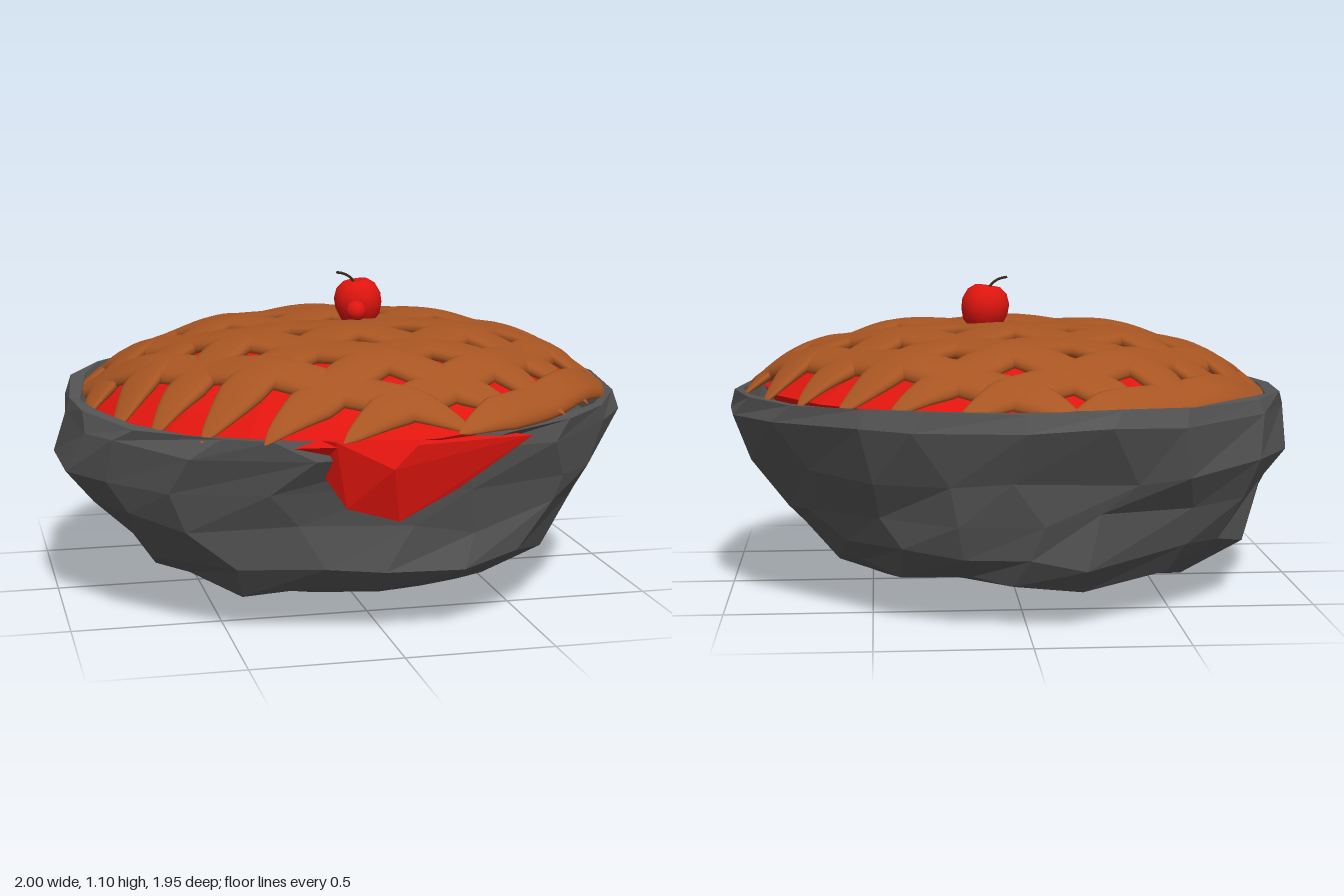
import * as THREE from 'three';
import { ConvexGeometry } from 'three/addons/geometries/ConvexGeometry.js';

const mat = (color, flat = false) =>
  new THREE.MeshStandardMaterial({ color, flatShading: flat, side: THREE.DoubleSide });

// Small repeatable noise in -1..1
const noise = (a, b) => {
  const s = Math.sin(a * 127.1 + b * 311.7) * 43758.5453;
  return (s - Math.floor(s)) * 2 - 1;
};

// Skin a list of rings (arrays of Vector3), closing both ends with a fan
function loft(rings) {
  const n = rings[0].length, pos = [], index = [];
  rings.forEach(r => r.forEach(p => pos.push(p.x, p.y, p.z)));
  for (let i = 0; i < rings.length - 1; i++) {
    for (let j = 0; j < n; j++) {
      const a = i * n + j, c = i * n + (j + 1) % n;
      index.push(a, a + n, c, c, a + n, c + n);
    }
  }
  const last = (rings.length - 1) * n;
  for (const [base, flip] of [[0, false], [last, true]]) {
    const mid = rings[base / n].reduce((s, p) => s.add(p), new THREE.Vector3()).divideScalar(n);
    const k = pos.length / 3;
    pos.push(mid.x, mid.y, mid.z);
    for (let j = 0; j < n; j++) {
      const a = base + j, c = base + (j + 1) % n;
      if (flip) index.push(k, c, a); else index.push(k, a, c);
    }
  }
  const g = new THREE.BufferGeometry();
  g.setAttribute('position', new THREE.Float32BufferAttribute(pos, 3));
  g.setIndex(index);
  g.computeVertexNormals();
  return g;
}

// Height of the pie's broad, flat-topped dome
const dome = (x, z) => 0.67 + 0.24 * (1 - Math.pow(Math.hypot(x - 0.04, z * 0.97) / 0.95, 3.1));

// Rough-hewn bowl: each ring is y, -x, +x, -z, +z extents, roughness
function bowlGeometry() {
  const profile = [
    [0.01, 0.25, 0.05, 0.04, 0.28, 0.01],
    [0.07, 0.48, 0.56, 0.30, 0.55, 0.015],
    [0.14, 0.70, 0.65, 0.77, 0.74, 0.025],
    [0.23, 0.82, 0.74, 0.85, 0.82, 0.03],
    [0.36, 0.91, 0.86, 0.86, 0.82, 0.03],
    [0.50, 1.00, 0.94, 0.90, 0.84, 0.02],
    [0.64, 0.97, 1.00, 0.98, 0.88, 0.01],
    [0.70, 0.95, 0.98, 0.96, 0.88, 0.006],
    [0.70, 0.91, 0.95, 0.92, 0.84, 0.006],
    [0.60, 0.87, 0.91, 0.88, 0.80, 0.01],
    [0.50, 0.70, 0.70, 0.70, 0.65, 0],
  ];
  const n = 20;
  return loft(profile.map(([y, xn, xp, zn, zp, rough], i) =>
    Array.from({ length: n }, (_, j) => {
      const a = ((j + 0.3 * noise(i, j)) / n) * Math.PI * 2;
      const c = Math.cos(a), s = Math.sin(a);
      // Each quarter is squared off by a different amount
      const e = s > 0 ? (c > 0 ? 2.25 : 2.4) : (c > 0 ? 1.95 : 2.05);
      const k = Math.pow(Math.abs(c) ** e + Math.abs(s) ** e, -1 / e);
      const r = k * (1 + rough * noise(j, i + 7));
      const x = c * r * (c > 0 ? xp : xn), z = s * r * (s > 0 ? zp : zn);
      const tilt = y > 0.6 ? -0.03 * z : 0;
      return new THREE.Vector3(x, y + tilt + rough * 1.2 * noise(j + 3, i), z);
    })));
}

// One woven pastry strip running along dir, set off sideways by c
function stripGeometry(dir, c, width, weave) {
  const pitch = 0.27, radius = 0.95, steps = 48, sides = 16;
  const across = new THREE.Vector3().crossVectors(dir, new THREE.Vector3(0, 1, 0));
  const bend = s => 1 - 0.34 * s * s;
  // Squared-off oval section
  const round = v => Math.sign(v) * Math.abs(v) ** 0.65;
  let end = 0;
  while (Math.hypot(end, c * bend(end)) < radius) end += 0.005;
  const rings = [];
  for (let i = 0; i <= steps; i++) {
    const t = (i / steps) * 2 - 1, s = t * end;
    const taper = Math.min(1, 0.04 + Math.pow((1 - Math.abs(t)) * end / 0.2, 0.7));
    const half = width / 2 * (1 - 0.2 * s * s) * taper;
    const lift = 0.008 * weave * Math.sin(Math.PI * s / pitch) * taper;
    rings.push(Array.from({ length: sides }, (_, j) => {
      const a = (j / sides) * Math.PI * 2;
      const p = dir.clone().multiplyScalar(s)
        .addScaledVector(across, c * bend(s) + round(Math.cos(a)) * half);
      p.y = dome(p.x, p.z) + lift + round(Math.sin(a)) * 0.025 * taper;
      return p;
    }));
  }
  return loft(rings);
}

export function createModel() {
  const model = new THREE.Group();
  const add = (parent, name, geometry, material) => {
    const m = new THREE.Mesh(geometry, material);
    m.name = name;
    parent.add(m);
    return m;
  };
  const red = mat(0xe0150f), redFlat = mat(0xe0150f, true), pastry = mat(0xa85522);

  add(model, 'bowl', bowlGeometry(), mat(0x545454, true));

  // Fruit filling under the lattice
  const ring = (r, drop) => Array.from({ length: 18 }, (_, j) => {
    const a = (j / 18) * Math.PI * 2;
    const x = Math.cos(a) * r - 0.02, z = Math.sin(a) * r + 0.02;
    return new THREE.Vector3(x, dome(x, z) - drop, z);
  });
  const fill = [0.9, 0.78, 0.62, 0.42, 0.2].map(r => ring(r, 0.015 + 0.03 * r * r));
  add(model, 'filling', loft([ring(0.84, 0.16), ...fill]), redFlat);

  // Filling spilling over the front rim
  add(model, 'fillingSpill', new ConvexGeometry([
    [-0.3, 0.675, 0.78], [-0.2, 0.6, 0.86], [-0.16, 0.46, 0.88], [0, 0.42, 0.92],
    [0.2, 0.5, 0.87], [0.47, 0.655, 0.82], [0.05, 0.67, 0.95], [-0.03, 0.6, 0.97],
    [-0.2, 0.68, 0.9], [0, 0.55, 0.78], [0.2, 0.69, 0.78],
  ].map(p => new THREE.Vector3(...p))), redFlat);

  // Lattice: each strip is its sideways offset and width; eight one way, six the other
  const lattice = new THREE.Group();
  lattice.name = 'latticeCrust';
  model.add(lattice);
  const d = Math.SQRT1_2;
  const inner = [[-0.625, 0.15], [-0.385, 0.17], [-0.13, 0.18], [0.145, 0.19], [0.43, 0.18], [0.675, 0.15]];
  const ways = [
    [new THREE.Vector3(d, 0, -d), [[-0.835, 0.13], ...inner, [0.875, 0.12]]],
    [new THREE.Vector3(d, 0, d), inner.map(([c, w]) => [-c, w]).reverse()],
  ];
  for (const [dir, strips] of ways) {
    strips.forEach(([c, w], i) =>
      add(lattice, 'crustStrip', stripGeometry(dir, c, w, i % 2 ? 1 : -1), pastry));
  }

  // Cherries with a curved stem
  const cherryProfile = [[0, -0.08], [0.04, -0.078], [0.07, -0.05], [0.083, -0.01], [0.084, 0.025],
    [0.07, 0.06], [0.045, 0.08], [0.02, 0.08], [0, 0.068]].map(p => new THREE.Vector2(...p));
  const cherry = add(model, 'cherry', new THREE.LatheGeometry(cherryProfile, 20), red);
  cherry.position.set(0.095, 0.98, -0.025);
  cherry.rotation.z = 0.15;
  add(model, 'smallCherry', new THREE.SphereGeometry(0.036, 16, 12), red).position.set(0.06, 0.965, 0.085);
  const stem = new THREE.QuadraticBezierCurve3(new THREE.Vector3(0.085, 1.04, -0.025),
    new THREE.Vector3(0.07, 1.085, -0.02), new THREE.Vector3(0.015, 1.09, -0.02));
  add(model, 'cherryStem', new THREE.TubeGeometry(stem, 10, 0.005, 6), mat(0x3a2a1c));

  return model;
}
